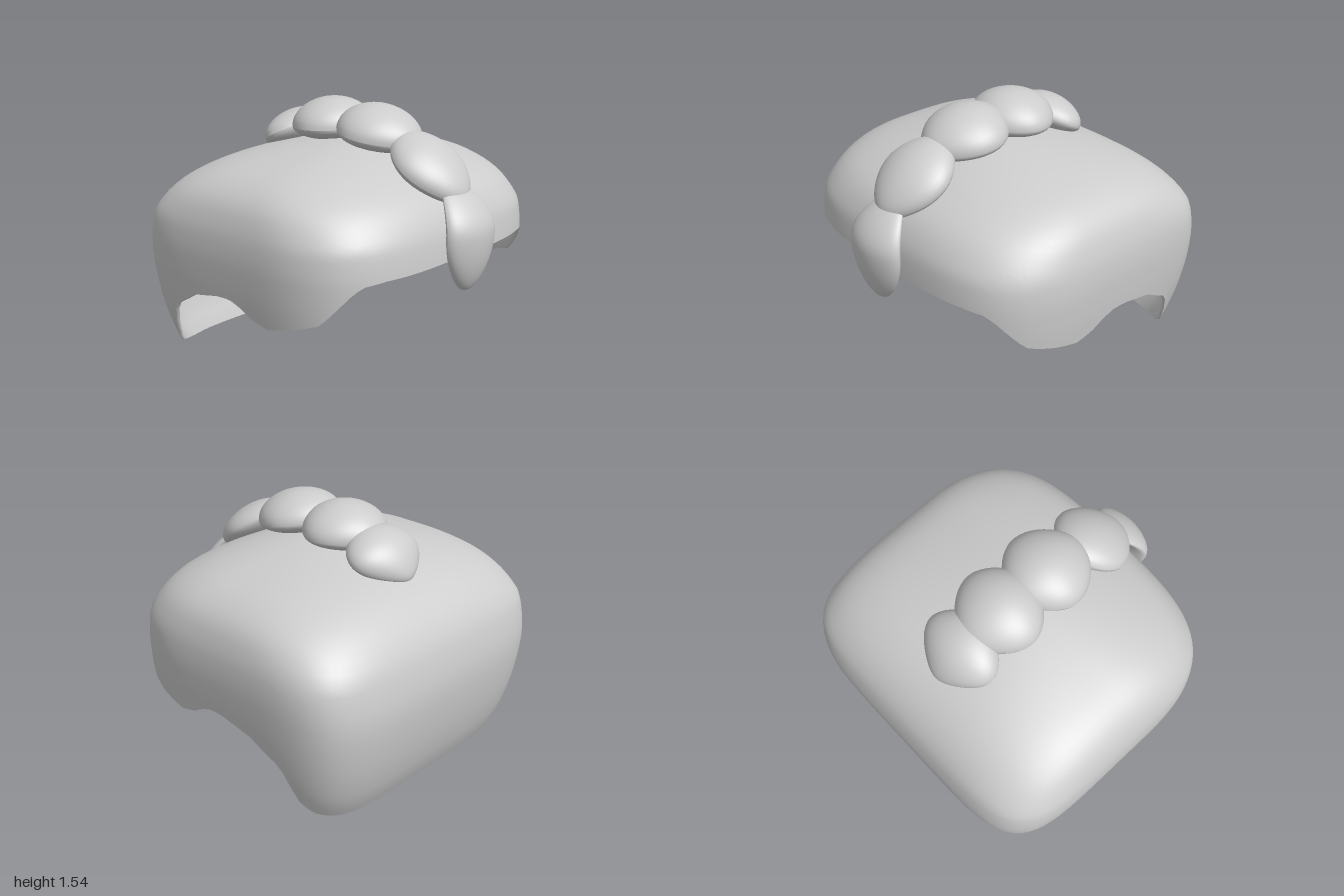
import * as THREE from 'three';

const TOP = 1.32;

// Horizontal sections of the cap: height, half width, reach to the front, reach to the back
const SECTIONS = [
  [1.32, 0, 0, 0], [1.31, 0.15, 0.14, 0.14], [1.28, 0.37, 0.28, 0.33],
  [1.24, 0.57, 0.41, 0.49], [1.18, 0.77, 0.55, 0.65], [1.08, 0.91, 0.71, 0.8],
  [0.93, 0.98, 0.81, 0.915], [0.78, 1, 0.84, 0.96], [0.65, 0.997, 0.845, 0.975],
  [0.5, 0.985, 0.84, 0.965], [0.3, 0.955, 0.83, 0.93], [0.1, 0.905, 0.8, 0.87],
  [0, 0.86, 0.78, 0.82],
];
const DEPTHS = SECTIONS.map((s) => Math.sqrt(TOP - s[0]));

// Hairline: degrees from the front, height
const RIM = [
  [0, 0.73], [38, 0.73], [45.8, 0.715], [49.6, 0.66], [58, 0.5], [67, 0.45],
  [76.5, 0.41], [83, 0.44], [88, 0.49], [93, 0.52], [99, 0.515], [110, 0.475],
  [114, 0.43], [120.5, 0.36], [126, 0.13], [130, 0.05], [135, 0.02],
  [140, 0.005], [180, 0],
];

function rimHeight(a) {
  let d = THREE.MathUtils.radToDeg(a);
  if (d > 180) d = 360 - d;
  let i = 0;
  while (i < RIM.length - 2 && d > RIM[i + 1][0]) i++;
  return THREE.MathUtils.mapLinear(d, RIM[i][0], RIM[i + 1][0], RIM[i][1], RIM[i + 1][1]);
}

// Smooth interpolation of one section column over q = sqrt(depth below the crown)
function section(q, col) {
  const last = DEPTHS.length - 1;
  let i = 0;
  while (i < last - 1 && q > DEPTHS[i + 1]) i++;
  const slope = (k) => {
    const a = Math.max(k - 1, 0), b = Math.min(k + 1, last);
    return (SECTIONS[b][col] - SECTIONS[a][col]) / (DEPTHS[b] - DEPTHS[a]);
  };
  const h = DEPTHS[i + 1] - DEPTHS[i];
  const t = (q - DEPTHS[i]) / h, t2 = t * t, t3 = t2 * t;
  return (2 * t3 - 3 * t2 + 1) * SECTIONS[i][col] + (t3 - 2 * t2 + t) * h * slope(i)
    + (3 * t2 - 2 * t3) * SECTIONS[i + 1][col] + (t3 - t2) * h * slope(i + 1);
}

// Distance from the axis to the rounded-square section, rounder at the front corners
function radius(a, q) {
  if (q < 1e-5) return 0;
  const full = THREE.MathUtils.lerp(5.5, 3.45, THREE.MathUtils.smoothstep(Math.cos(a), -0.5, 0.5));
  const n = THREE.MathUtils.lerp(2.05, full, Math.min(1, q / 0.65) ** 2);
  const sx = Math.abs(Math.sin(a)) / section(q, 1);
  const sz = Math.abs(Math.cos(a)) / section(q, Math.cos(a) > 0 ? 2 : 3);
  return Math.pow(sx ** n + sz ** n, -1 / n);
}

// Closed ring grid from the hairline up to the crown
function capSurface(inner) {
  const cols = 160, rows = 30, pos = [], index = [];
  for (let j = 0; j <= rows; j++) {
    for (let i = 0; i < cols; i++) {
      const a = (i / cols) * Math.PI * 2;
      const s = inner ? Math.max(0, j - 1) / (rows - 1) : j / rows;
      const q = Math.sqrt(TOP - rimHeight(a)) * (1 - s);
      const inset = inner && j > 0 ? 0.016 : 0;
      const r = radius(a, q) * (1 - inset);
      const y = TOP - q * q - (inner ? 0.016 * s : 0);
      pos.push(r * Math.sin(a), y, r * Math.cos(a));
    }
  }
  for (let j = 0; j < rows; j++) {
    for (let i = 0; i < cols; i++) {
      const k = (i + 1) % cols;
      const a = j * cols + i, b = j * cols + k, c = a + cols, d = b + cols;
      if (inner) index.push(a, c, b, b, c, d);
      else index.push(a, b, c, b, d, c);
    }
  }
  const g = new THREE.BufferGeometry();
  g.setAttribute('position', new THREE.Float32BufferAttribute(pos, 3));
  g.setIndex(index);
  g.computeVertexNormals();
  return g;
}

// Braid lobe with slightly pointed sides: y runs along the braid, z points away from the head
function lobe({ w, up, down, out, under, drop = 0, point = 0.1 }) {
  const g = new THREE.SphereGeometry(1, 40, 28);
  const p = g.attributes.position;
  for (let i = 0; i < p.count; i++) {
    const x = p.getX(i), y = p.getY(i), z = p.getZ(i);
    const taper = 1 - (y > 0 ? point : 0.1) * y * y;
    const bend = -y * y * (y > 0 ? drop : drop * 0.1);
    p.setXYZ(
      i,
      x * w * (0.87 + 0.13 * x * x) * taper,
      y * (y > 0 ? up : down),
      z * (z > 0 ? out : under) * taper + bend,
    );
  }
  g.computeVertexNormals();
  return g;
}

export function createModel() {
  const group = new THREE.Group();
  group.name = 'braidedHair';
  const hair = new THREE.MeshStandardMaterial({ color: 0xcccccc });
  hair.name = 'hairGrey';

  const add = (name, geometry) => {
    const m = new THREE.Mesh(geometry, hair);
    m.name = name;
    group.add(m);
    return m;
  };

  // Hair cap
  add('hairCapOuter', capSurface(false));
  add('hairCapInner', capSurface(true));

  // Braid running from the forehead over the crown
  const lobes = [
    { y: 0.87, z: 0.88, tilt: 0, w: 0.212, up: 0.29, down: 0.34, out: 0.1, under: 0.06, drop: 0.18 },
    { y: 1.215, z: 0.58, tilt: 55, w: 0.245, up: 0.27, down: 0.3, out: 0.135, under: 0.09 },
    { y: 1.36, z: 0.2, tilt: 80, w: 0.267, up: 0.26, down: 0.29, out: 0.17, under: 0.09 },
    { y: 1.365, z: -0.15, tilt: 92, w: 0.272, up: 0.27, down: 0.25, out: 0.173, under: 0.09 },
    { y: 1.29, z: -0.45, tilt: 118, w: 0.257, up: 0.225, down: 0.21, out: 0.14, under: 0.09, point: 0.3 },
  ];
  lobes.forEach((l, i) => {
    const m = add('braidLobe' + (i + 1), lobe(l));
    m.position.set(0, l.y, l.z);
    m.rotation.x = -THREE.MathUtils.degToRad(l.tilt);
  });
  return group;
}
